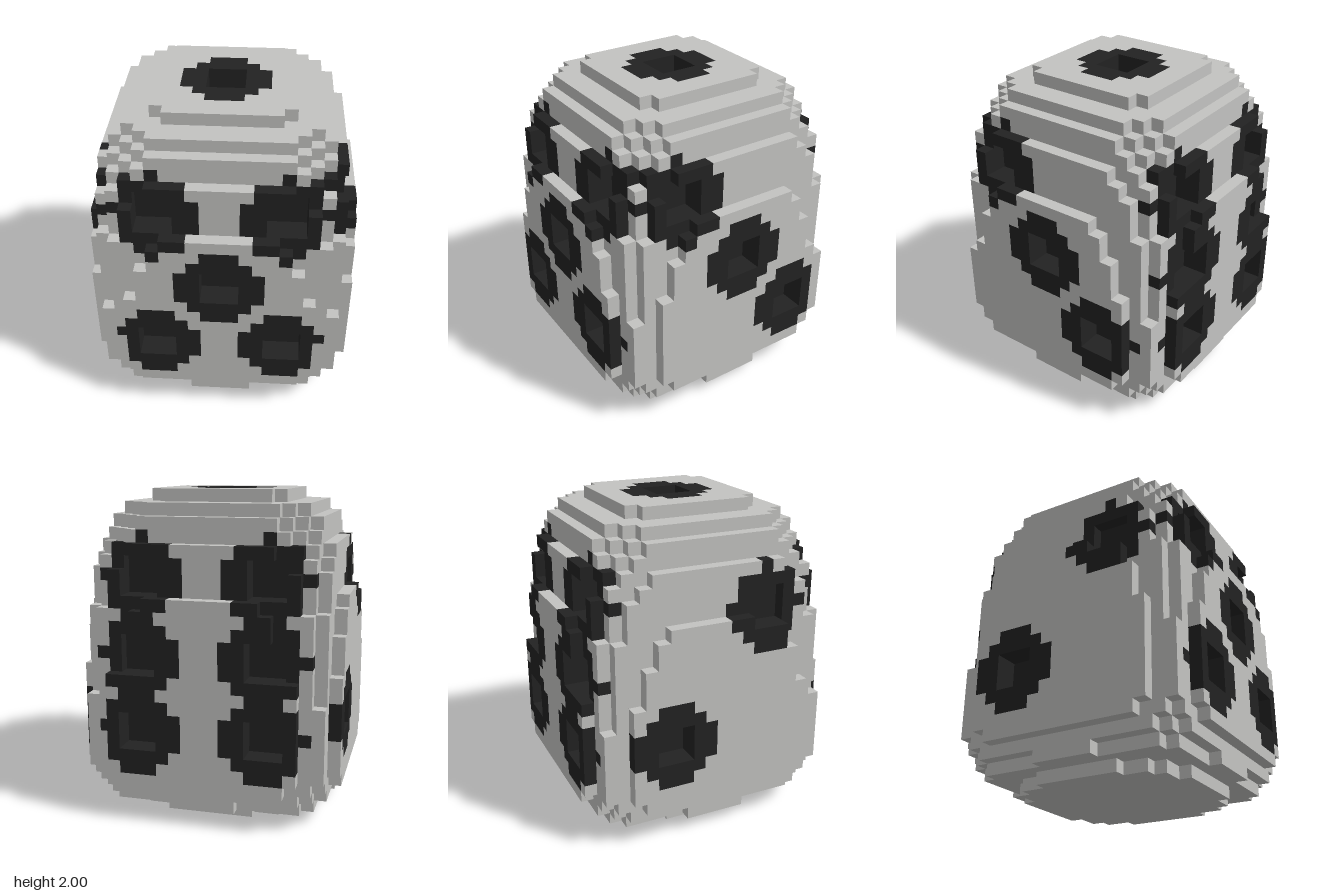
import * as THREE from 'three';

const UNIT = 2 / 26; // edge of one block; the egg is 26 layers tall and 21 wide

// Layers from the bottom up: [count, [reach, width], ...].
// A block is filled when the larger of |x|,|z| <= reach and the smaller <= width.
const LAYERS = [
  [1, [7, 3], [6, 5]],
  [1, [9, 2], [8, 7]],
  [1, [9, 7], [8, 8]],
  [1, [10, 6], [9, 8]],
  [6, [10, 7], [9, 9]],
  [2, [10, 7], [9, 8]],
  [3, [10, 6], [9, 8]],
  [2, [10, 5], [9, 8]],
  [1, [10, 4], [9, 7], [8, 8]],
  [2, [9, 7], [8, 8]],
  [1, [9, 6], [8, 8]],
  [1, [9, 5], [8, 7]],
  [1, [8, 6], [7, 7]],
  [1, [8, 5], [7, 6]],
  [1, [7, 5], [6, 6]],
  [1, [5, 4]],
].flatMap(([count, ...steps]) => Array(count).fill(steps));

// Pips: block position on the surface and the axis the pit is sunk along
const PIPS = [
  { at: [0, 25, 0], axis: 1 },
  { at: [0, 13, 10], axis: 2 },
  { at: [9, 19, 5], axis: 0 },
  { at: [10, 13, 0], axis: 0 },
  { at: [10, 7, -5], axis: 0 },
  { at: [-10, 18, 4], axis: 0 },
  { at: [-10, 8, -4], axis: 0 },
];
for (const x of [-5, 5]) {
  for (const [y, z] of [[7, 10], [19, 9], [7, -10], [13, -10], [19, -9]]) {
    PIPS.push({ at: [x, y, z], axis: 2 });
  }
}

// Square pit, 3 blocks wide and 2 deep
function inPit(cell) {
  return PIPS.some(({ at, axis }) => cell.every((c, i) => {
    if (i !== axis) return Math.abs(c - at[i]) <= 1;
    const depth = (at[i] - c) * Math.sign(at[i]);
    return depth >= 0 && depth <= 1;
  }));
}

function isSolid(cell) {
  const [x, y, z] = cell;
  const steps = LAYERS[y];
  if (!steps) return false;
  const hi = Math.max(Math.abs(x), Math.abs(z));
  const lo = Math.min(Math.abs(x), Math.abs(z));
  return steps.some(([reach, width]) => hi <= reach && lo <= width) && !inPit(cell);
}

// Round dark patch about each pip
function isSpot(cell) {
  return PIPS.some(({ at }) =>
    cell.reduce((sum, c, i) => sum + (c - at[i]) ** 2, 0) <= 10);
}

// Append the quad on one side of a block
function addFace(list, cell, axis, side) {
  const u = (axis + 1) % 3, v = (axis + 2) % 3;
  const loop = [[-1, -1], [1, -1], [1, 1], [-1, 1]];
  if (side < 0) loop.reverse();
  const corners = loop.map(([a, b]) => {
    const p = [cell[0], cell[1] + 0.5, cell[2]];
    p[axis] += side / 2;
    p[u] += a / 2;
    p[v] += b / 2;
    return p.map((c) => c * UNIT);
  });
  for (const k of [0, 1, 2, 0, 2, 3]) list.push(...corners[k]);
}

function makeMesh(name, points, material) {
  const geometry = new THREE.BufferGeometry();
  geometry.setAttribute('position', new THREE.Float32BufferAttribute(points, 3));
  geometry.computeVertexNormals();
  const mesh = new THREE.Mesh(geometry, material);
  mesh.name = name;
  return mesh;
}

export function createModel() {
  const shellGrey = new THREE.MeshStandardMaterial({ color: 0xc3c3c1 });
  shellGrey.name = 'shellGrey';
  const spotBlack = new THREE.MeshStandardMaterial({ color: 0x222222 });
  spotBlack.name = 'spotBlack';

  // Collect only the exposed block faces, sorted by colour
  const shell = [], spots = [];
  for (let y = 0; y < LAYERS.length; y++) {
    for (let x = -10; x <= 10; x++) {
      for (let z = -10; z <= 10; z++) {
        const cell = [x, y, z];
        if (!isSolid(cell)) continue;
        const list = isSpot(cell) ? spots : shell;
        for (let axis = 0; axis < 3; axis++) {
          for (const side of [-1, 1]) {
            const next = [...cell];
            next[axis] += side;
            if (!isSolid(next)) addFace(list, cell, axis, side);
          }
        }
      }
    }
  }

  const group = new THREE.Group();
  group.name = 'blockDie';
  group.add(makeMesh('shell', shell, shellGrey), makeMesh('pipSpots', spots, spotBlack));
  return group;
}
